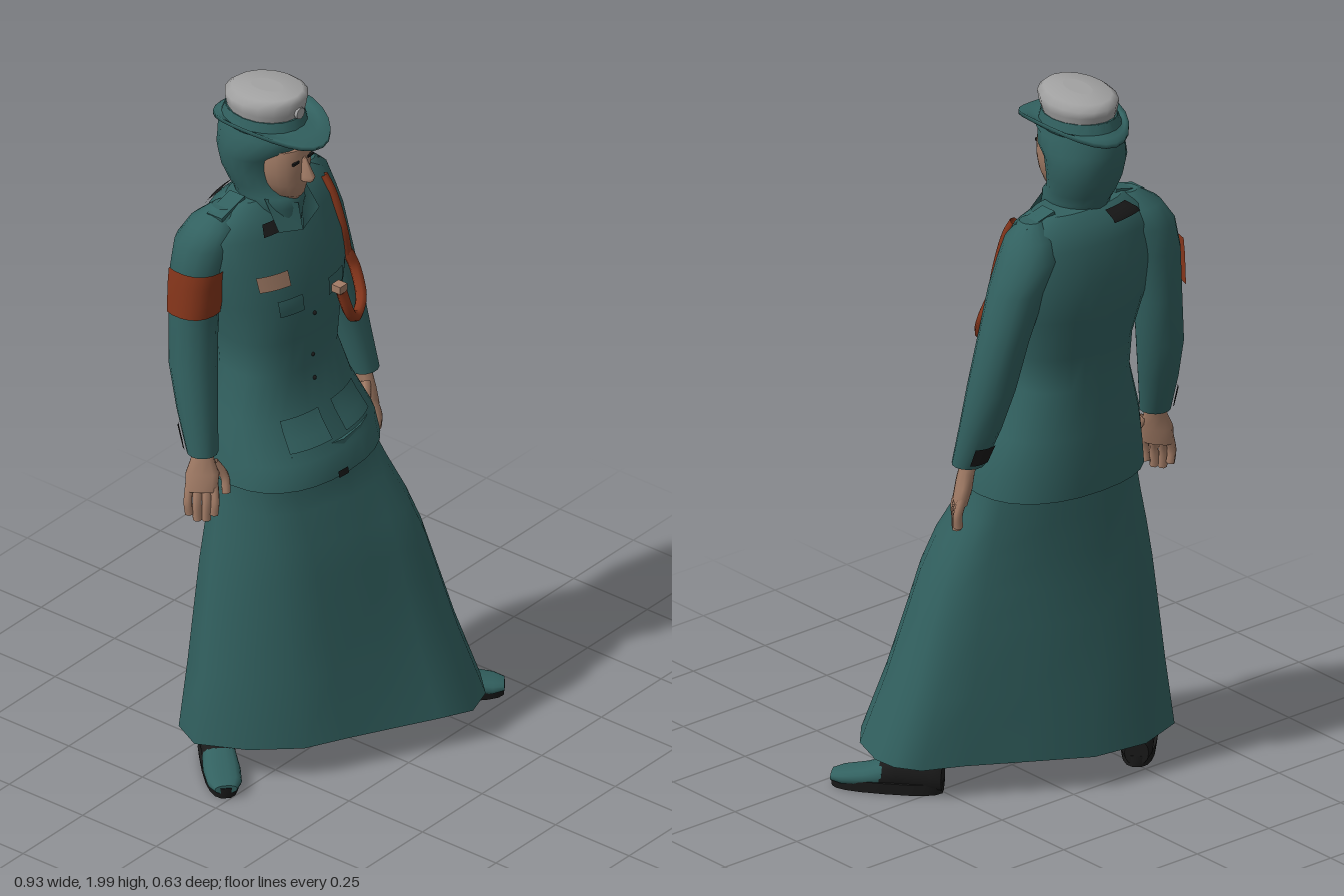
import * as THREE from 'three';
import { mergeGeometries } from 'three/addons/utils/BufferGeometryUtils.js';

const mat = (name, color) => {
  const m = new THREE.MeshStandardMaterial({ color, side: THREE.DoubleSide });
  m.name = name;
  return m;
};

// Superellipse ring for a section [y, x0, x1, z0, z1]; angle 0 is +x, 90 is +z
function ring([y, x0, x1, z0, z1], n = 20, a0 = 0, a1 = 360, off = 0, power = 0.88) {
  const pts = [];
  for (let j = 0; j < n; j++) {
    const a = THREE.MathUtils.degToRad(a0 + (a1 - a0) * j / (a1 - a0 === 360 ? n : n - 1));
    const f = v => Math.sign(v) * Math.abs(v) ** power;
    pts.push([(x0 + x1) / 2 + ((x1 - x0) / 2 + off) * f(Math.cos(a)), y,
      (z0 + z1) / 2 + ((z1 - z0) / 2 + off) * f(Math.sin(a))]);
  }
  return pts;
}

// Skin over rings listed from low to high, with flat end caps
function loft(rings, { closed = true, caps = true } = {}) {
  const n = rings[0].length, pos = rings.flat(2), idx = [];
  for (let i = 0; i < rings.length - 1; i++) {
    for (let j = 0; j < (closed ? n : n - 1); j++) {
      const k = (j + 1) % n, a = i * n + j, b = i * n + k;
      idx.push(a, a + n, b, b, a + n, b + n);
    }
  }
  if (closed && caps) [rings[0], rings.at(-1)].forEach((r, top) => {
    const s = pos.length / 3;
    pos.push(...r.flat(), ...[0, 1, 2].map(c => r.reduce((t, p) => t + p[c], 0) / n));
    for (let j = 0; j < n; j++) {
      const k = (j + 1) % n;
      idx.push(s + n, s + (top ? k : j), s + (top ? j : k));
    }
  });
  const g = new THREE.BufferGeometry();
  g.setAttribute('position', new THREE.Float32BufferAttribute(pos, 3));
  g.setIndex(idx);
  g.computeVertexNormals();
  return g;
}

const body = (sections, n, power) => loft(sections.map(s => ring(s, n, 0, 360, 0, power)));

// Section of a body at height y
function at(sections, y) {
  const i = Math.max(1, sections.findIndex(s => s[0] >= y));
  const a = sections[i - 1], b = sections[i], t = (y - a[0]) / (b[0] - a[0]);
  return a.map((v, c) => v + (b[c] - v) * t);
}

// Thin panel that follows a body between two heights and two angles
const patch = (sections, y0, y1, a0, a1, off = 0.008) =>
  loft([0, 0.33, 0.67, 1].map(t => ring(at(sections, y0 + (y1 - y0) * t), 8, a0, a1, off)), { closed: false });

const round = ([y, x, z, r]) => [y, x - r, x + r, z - r, z + r];
const tube = (pts, r) => new THREE.TubeGeometry(
  new THREE.CatmullRomCurve3(pts.map(p => new THREE.Vector3(...p))), pts.length * 5, r, 6);

export function createModel() {
  const group = new THREE.Group();
  const teal = mat('teal cloth', 0x326160), skin = mat('skin', 0xa27c66), red = mat('red brown', 0x87361b);
  const grey = mat('hat grey', 0xa2a2a2), dark = mat('black', 0x1a1a1a);
  const add = (name, geo, material, parent = group) => {
    const m = new THREE.Mesh(geo, material);
    m.name = name;
    parent.add(m);
    return m;
  };

  // Skirt: waist ellipse easing into a skewed hem, [height, ease in x, ease in z]
  const hem = [[0.39, 0.1], [0.35, 0.21], [0.28, 0.285], [0.19, 0.315], [0.1, 0.27], [0, 0.215], [-0.13, 0.145],
    [-0.24, 0.09], [-0.34, -0.02], [-0.405, -0.15], [-0.36, -0.24], [-0.22, -0.288], [-0.06, -0.265],
    [0.1, -0.17], [0.24, -0.085], [0.345, -0.035], [0.385, 0.03]];
  const skirtRings = [[0.1, 1, 1], [0.3, 0.75, 0.78], [0.5, 0.53, 0.6], [0.6, 0.41, 0.52], [0.7, 0.27, 0.39],
    [0.8, 0.12, 0.19], [0.87, 0.04, 0.05], [0.97, 0, 0]].map(([y, tx, tz]) => hem.map(([x, z]) => {
    const a = Math.atan2(z, x);
    return [THREE.MathUtils.lerp(-0.062 + 0.24 * Math.cos(a), x, tx), y,
      THREE.MathUtils.lerp(-0.095 + 0.175 * Math.sin(a), z, tz)];
  }));
  add('skirt', loft(skirtRings), teal);

  // Jacket
  const jacket = [[0.88, -0.318, 0.198, -0.29, 0.1], [0.95, -0.308, 0.188, -0.29, 0.085], [1.05, -0.283, 0.158, -0.285, 0.015],
    [1.18, -0.25, 0.11, -0.27, -0.008], [1.28, -0.255, 0.12, -0.28, -0.002], [1.4, -0.285, 0.15, -0.308, 0],
    [1.5, -0.3, 0.168, -0.312, -0.022], [1.6, -0.31, 0.152, -0.295, -0.055], [1.65, -0.28, 0.13, -0.272, -0.085],
    [1.68, -0.22, 0.07, -0.24, -0.11]];
  add('jacket', body(jacket, 28), teal);
  for (const [a0, a1] of [[62, 82], [104, 126]]) {
    add('chestPocket', patch(jacket, 1.37, 1.42, a0, a1, 0.005), teal);
    add('hipPocket', patch(jacket, 0.98, 1.06, a0 - 8, a1 + 4, 0.005), teal);
  }
  for (const y of [1.14, 1.21, 1.34]) {
    const s = at(jacket, y);
    add('button', new THREE.SphereGeometry(0.006, 6, 4), dark).position.set(-0.085, y, s[4]);
  }
  add('beltBuckle', patch(jacket, 0.882, 0.9, 92, 99), dark);
  add('chestBadge', patch(jacket, 1.457, 1.502, 112, 139), skin);
  add('backPatch', patch(jacket, 1.64, 1.672, 232, 262), dark);
  add('collarShade', patch(jacket, 1.605, 1.635, 104, 122, 0.006), dark);

  // Collar wings, folded from the throat to the shoulders
  for (const s of [-1, 1]) {
    const wing = new THREE.BufferGeometry().setFromPoints(
      [[0, 1.59, -0.032], [0.085, 1.615, -0.045], [0.078, 1.695, -0.1], [0.01, 1.675, -0.04]]
        .map(([x, y, z]) => new THREE.Vector3(-0.095 + s * x, y, z)));
    wing.setIndex(s > 0 ? [0, 1, 2, 0, 2, 3] : [0, 2, 1, 0, 3, 2]);
    wing.computeVertexNormals();
    add('collar', wing, teal);
  }
  // Shoulder straps
  for (const [x, tilt] of [[-0.235, 0.25], [0.075, -0.25]]) {
    const m = add('shoulderStrap', new THREE.BoxGeometry(0.1, 0.012, 0.05), teal);
    m.position.set(x, 1.672, -0.18);
    m.rotation.z = tilt;
  }

  // Arms and hands
  const arms = {
    right: [[0.985, -0.365, -0.155, 0.042], [1.1, -0.35, -0.185, 0.055], [1.22, -0.33, -0.215, 0.065],
      [1.36, -0.31, -0.23, 0.066], [1.5, -0.298, -0.225, 0.074], [1.58, -0.275, -0.215, 0.084],
      [1.635, -0.258, -0.2, 0.068], [1.675, -0.235, -0.19, 0.03]],
    left: [[0.985, 0.238, -0.1, 0.045], [1.1, 0.229, -0.138, 0.057], [1.22, 0.217, -0.168, 0.066],
      [1.36, 0.19, -0.185, 0.07], [1.5, 0.15, -0.195, 0.078], [1.58, 0.11, -0.195, 0.083],
      [1.635, 0.102, -0.19, 0.066], [1.675, 0.09, -0.18, 0.03]],
  };
  for (const [side, path] of Object.entries(arms)) {
    const sections = path.map(round), s = side === 'left' ? 1 : -1, [y, x, z] = path[0];
    add(side + 'Sleeve', body(sections, 14, 1), teal);
    add(side + 'CuffPatch', patch(sections, 1.0, 1.055, s > 0 ? 250 : 205, s > 0 ? 310 : 245, 0.005), dark);
    if (s < 0) add('armband', patch(sections, 1.38, 1.515, 78, 208, 0.008), red);

    const hand = new THREE.Group();
    hand.name = side + 'Hand';
    hand.position.set(x, y, z);
    hand.rotation.set(-0.15, -s * 0.6, s > 0 ? 0.14 : -0.2, 'ZXY');
    group.add(hand);
    add('palm', body([[-0.11, -0.02, 0.02, -0.046, 0.042], [-0.06, -0.024, 0.022, -0.046, 0.047],
      [-0.02, -0.022, 0.022, -0.032, 0.032], [0.03, -0.026, 0.026, -0.028, 0.028]], 10), skin, hand);
    const fingers = [-0.034, -0.012, 0.011, 0.032].map((fz, i) =>
      tube([[0, -0.09, fz], [0.003 * s, -0.14, fz * 1.1], [-0.006 * s, -0.175 - 0.016 * (i % 3 > 0), fz]], 0.0125));
    fingers.push(tube([[-0.005 * s, -0.03, 0.03], [-0.022 * s, -0.075, 0.058], [-0.025 * s, -0.12, 0.062]], 0.013));
    add('fingers', mergeGeometries(fingers), skin, hand);
  }

  // Cord: a thin strap from the shoulder and a thicker loop over the chest
  add('shoulderCord', tube([[0.085, 1.645, -0.11], [0.09, 1.6, -0.085], [0.1, 1.5, -0.058], [0.125, 1.4, -0.06]], 0.014), red);
  add('chestLoop', tube([[0.125, 1.41, -0.06], [0.138, 1.36, -0.045], [0.115, 1.295, -0.005], [0.06, 1.275, 0.025],
    [0.01, 1.31, 0.042], [-0.022, 1.395, 0.038]], 0.016), red);
  add('cordTip', new THREE.BoxGeometry(0.03, 0.022, 0.03), skin).position.set(-0.024, 1.403, 0.034);

  // Hooded head and face
  add('hood', body([[1.6, -0.15, -0.04, -0.2, -0.05], [1.66, -0.178, -0.012, -0.24, -0.045],
    [1.69, -0.18, -0.012, -0.25, -0.05], [1.715, -0.188, -0.006, -0.262, -0.075], [1.76, -0.203, 0.006, -0.28, -0.08],
    [1.81, -0.212, 0.013, -0.29, -0.075], [1.84, -0.212, 0.011, -0.29, -0.04], [1.88, -0.21, 0.006, -0.288, -0.035],
    [1.93, -0.19, -0.01, -0.27, -0.07]], 20, 1), teal);
  add('face', body([[1.685, -0.122, -0.078, -0.15, -0.046], [1.7, -0.142, -0.058, -0.16, -0.033],
    [1.74, -0.162, -0.038, -0.16, -0.026], [1.78, -0.172, -0.028, -0.16, -0.024], [1.82, -0.174, -0.026, -0.16, -0.025],
    [1.845, -0.172, -0.028, -0.16, -0.03]], 16, 0.95), skin);
  add('nose', body([[1.753, -0.113, -0.087, -0.04, 0.005], [1.768, -0.114, -0.086, -0.04, 0.012],
    [1.82, -0.106, -0.094, -0.04, -0.018]], 6, 1), skin);
  for (const s of [-1, 1]) {
    add('eye', new THREE.BoxGeometry(0.024, 0.007, 0.006), dark).position.set(-0.1 + s * 0.03, 1.812, -0.028);
  }

  // Hat: flared crown sloping to the back, badge, and a brim turned up at the sides
  const crown = [[1.915, -0.186, -0.012, -0.262, -0.055], [1.95, -0.195, -0.001, -0.27, -0.042],
    [1.978, -0.197, 0.003, -0.274, -0.036], [1.992, -0.18, -0.015, -0.255, -0.05], [1.997, -0.13, -0.07, -0.2, -0.1]];
  add('hatCrown', loft(crown.map((s, i) => ring(s, 16, 0, 360, 0, 1)
    .map(([x, y, z]) => [x, y + (i > 1 ? 0.07 * (z + 0.12) : 0), z]))), grey);
  add('hatBadge', new THREE.CylinderGeometry(0.017, 0.017, 0.009, 8).rotateX(Math.PI / 2), grey).position.set(-0.1, 1.95, -0.04);
  add('hatBand', body([[1.88, -0.205, 0.006, -0.285, -0.03], [1.932, -0.193, -0.005, -0.27, -0.045]], 18, 1), teal);
  const brim = [0, 0.5, 1].map(t => ring([0, -0.2 - 0.022 * t, 0.022 * t, -0.28 - 0.028 * t, -0.04 + 0.08 * t], 24, 0, 360, 0, 1)
    .map(([x, , z], j) => [x, 1.905 + t * (0.04 * Math.cos(j / 24 * Math.PI * 2) ** 2 - 0.02), z]));
  const under = brim.map(r => r.map(([x, y, z]) => [x, y - 0.012, z]));
  add('hatBrim', loft([...under, ...brim.reverse()], { caps: false }), teal);

  // Shoes, turned outwards
  for (const [name, x, z, turn] of [['rightShoe', -0.342, -0.118, -0.76], ['leftShoe', 0.342, 0.105, 0.68]]) {
    const shoe = new THREE.Group();
    shoe.name = name;
    shoe.position.set(x, 0, z);
    shoe.rotation.y = turn;
    group.add(shoe);
    const upper = s => body(s, 14, 0.85).rotateX(Math.PI / 2);
    add('sole', body([[0.004, -0.046, 0.046, -0.15, 0.15], [0.036, -0.05, 0.05, -0.152, 0.154]], 18, 0.75), dark, shoe);
    add('heel', upper([[-0.148, -0.032, 0.032, -0.08, -0.01], [-0.12, -0.044, 0.044, -0.11, -0.01],
      [-0.03, -0.045, 0.045, -0.11, -0.01], [0.02, -0.046, 0.046, -0.082, -0.01]]), dark, shoe);
    add('toe', upper([[0.01, -0.046, 0.046, -0.086, -0.015], [0.06, -0.05, 0.05, -0.066, -0.015],
      [0.12, -0.046, 0.046, -0.054, -0.015], [0.15, -0.03, 0.03, -0.044, -0.02]]), teal, shoe);
  }
  return group;
}
